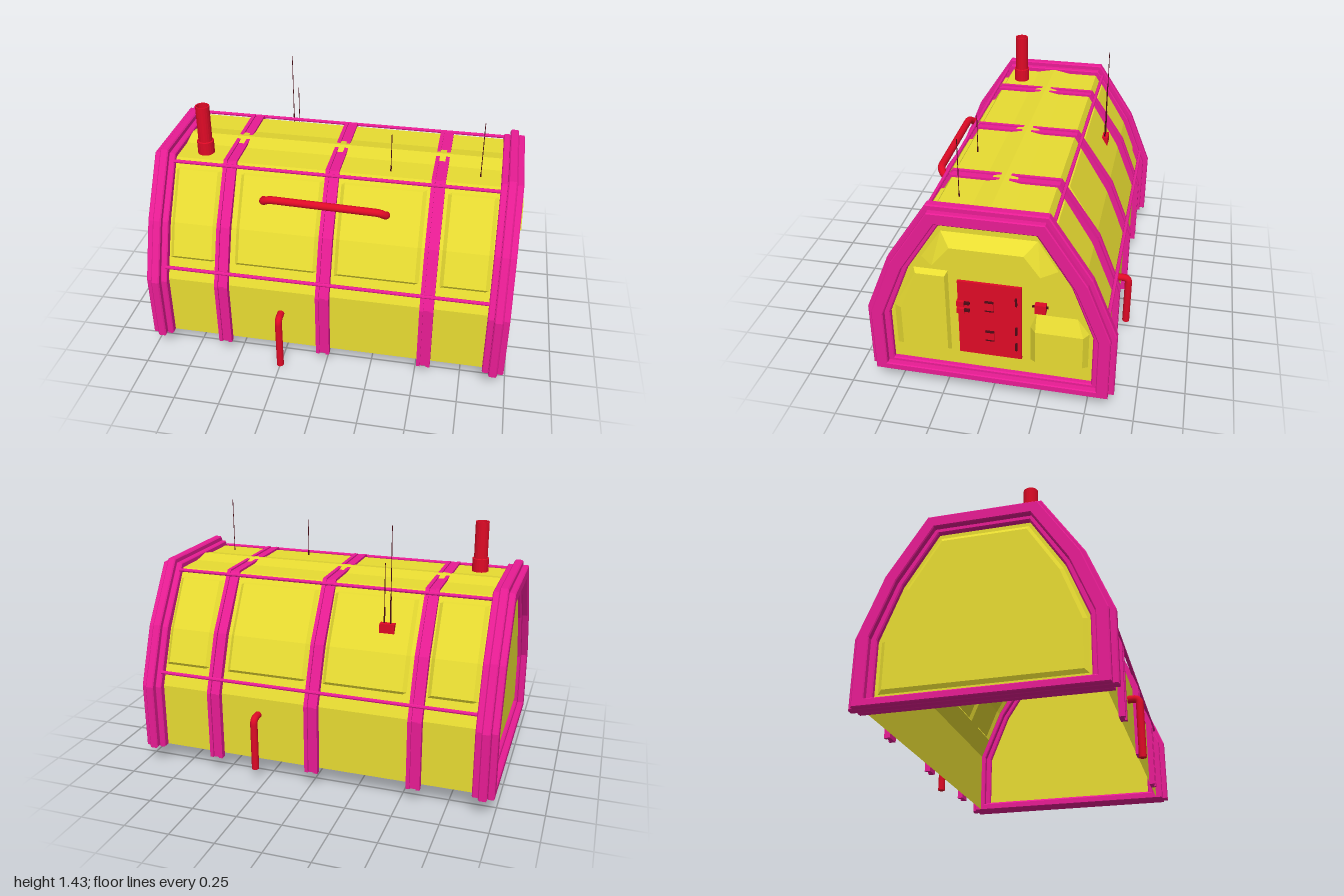
import * as THREE from 'three';
import { ConvexGeometry } from 'three/addons/geometries/ConvexGeometry.js';

const paint = (color, side = THREE.FrontSide) =>
  new THREE.MeshStandardMaterial({ color, flatShading: true, side });
const yellow = paint(0xe8dc32, THREE.DoubleSide);
const magenta = paint(0xe81c94);
const red = paint(0xdf0a26);
const dark = paint(0x4a0a14);
const smoothRed = new THREE.MeshStandardMaterial({ color: 0xdf0a26 });

// Half profiles as [z, y], from the ground up to the roof edge
const HULL = [[0.575, 0.11], [0.575, 0.47], [0.455, 0.77], [0.27, 1.075]];
const RIB_INNER = [[0.578, 0.09], [0.578, 0.471], [0.458, 0.772], [0.272, 1.078]];
const RIB_RAIL = [[0.61, 0.09], [0.61, 0.474], [0.488, 0.787], [0.283, 1.09]];
const RIB_CORE = [[0.6, 0.09], [0.6, 0.473], [0.478, 0.782], [0.28, 1.082]];
const BAND = [[0.64, 0.105], [0.64, 0.477], [0.51, 0.8], [0.295, 1.127]];
const BAND_HOLE = [[0.522, 0.16], [0.522, 0.457], [0.41, 0.745], [0.235, 1.02]];
const FLANGE = [[0.612, 0.105], [0.612, 0.472], [0.49, 0.787], [0.283, 1.102]];
const FLANGE_HOLE = [[0.55, 0.145], [0.55, 0.461], [0.432, 0.755], [0.248, 1.04]];
const END_OUTER = [[0.505, 0.18], [0.505, 0.453], [0.397, 0.735], [0.227, 1.0]];
const END_INNER = [[0.485, 0.2], [0.485, 0.449], [0.38, 0.725], [0.218, 0.98]];

const full = (half) => [...half, ...half.map(([z, y]) => [-z, y]).reverse()];
const shapeOf = (pts) => new THREE.Shape(pts.map(([z, y]) => new THREE.Vector2(z, y)));
const ringShape = (outer, hole) => {
  const s = shapeOf(full(outer));
  s.holes.push(shapeOf(full(hole)));
  return s;
};

// Extrudes a z/y shape along x, centred on x, with small chamfers
function slab(shape, x, width, chamfer) {
  return new THREE.ExtrudeGeometry(shape, {
    depth: width - 2 * chamfer, bevelEnabled: chamfer > 0, bevelSegments: 1,
    bevelSize: chamfer, bevelThickness: chamfer, bevelOffset: -chamfer,
  }).translate(0, 0, chamfer - width / 2).rotateY(Math.PI / 2).translate(x, 0, 0);
}

// Skin stretched over rows of equally many [x, y, z] points
function skin(rows) {
  const index = [], n = rows[0].length;
  for (let i = 1; i < rows.length; i++)
    for (let j = 1; j < n; j++) {
      const k = i * n + j;
      index.push(k - n - 1, k - 1, k, k - n - 1, k, k - n);
    }
  const g = new THREE.BufferGeometry();
  g.setAttribute('position', new THREE.Float32BufferAttribute(rows.flat(2), 3));
  g.setIndex(index);
  g.computeVertexNormals();
  return g;
}

function add(parent, name, geometry, material, x = 0, y = 0, z = 0) {
  const mesh = new THREE.Mesh(geometry, material);
  mesh.name = name;
  mesh.position.set(x, y, z);
  parent.add(mesh);
  return mesh;
}

function addGroup(parent, name) {
  const g = new THREE.Group();
  g.name = name;
  parent.add(g);
  return g;
}

const box = (parent, name, size, pos, material) =>
  add(parent, name, new THREE.BoxGeometry(...size), material, ...pos);

const rod = (parent, name, r, bottom, top, x, z, material) =>
  add(parent, name, new THREE.CylinderGeometry(r, r, top - bottom, 8), material, x, (top + bottom) / 2, z);

// Pipe with rounded bends through a few corner points, with closed ends
function pipe(parent, name, pts, r) {
  const v = pts.map((p) => new THREE.Vector3(...p)), last = v.length - 1;
  const path = new THREE.CurvePath();
  let from = v[0];
  for (let i = 1; i < last; i++) {
    const before = v[i].distanceTo(v[i - 1]), after = v[i].distanceTo(v[i + 1]);
    const bend = Math.min(0.035, before / 2, after / 2);
    const a = v[i].clone().lerp(v[i - 1], bend / before);
    const b = v[i].clone().lerp(v[i + 1], bend / after);
    path.add(new THREE.LineCurve3(from, a));
    path.add(new THREE.QuadraticBezierCurve3(a, v[i], b));
    from = b;
  }
  path.add(new THREE.LineCurve3(from, v[last]));
  const g = addGroup(parent, name);
  add(g, name + 'Tube', new THREE.TubeGeometry(path, 64, r, 12), smoothRed);
  for (const [p, q] of [[v[0], v[1]], [v[last], v[last - 1]]])
    add(g, name + 'End', new THREE.CircleGeometry(r, 12), smoothRed, p.x, p.y, p.z)
      .lookAt(p.clone().multiplyScalar(2).sub(q));
}

// Shell with raised bevelled panels on both slopes
function shellGeometry() {
  const along = ([z0, y0], [z1, y1], y) => [z0 + ((z1 - z0) * (y - y0)) / (y1 - y0), y];
  const [foot, sill, knee, eave] = HULL;
  // Each point is [z, y, share of the panel height]
  const half = [
    [...foot, 0], [...sill, 0],
    [...along(sill, knee, 0.585), 0], [...along(sill, knee, 0.595), 1],
    [...knee, 1],
    [...along(knee, eave, 1.02), 1], [...along(knee, eave, 1.03), 0],
    [...eave, 0], [0.1, 1.075, 0],
  ];
  const profile = [...half.map((p) => [...p, 1]), [0, 1.095, 0, 1],
    ...half.map(([z, y, s]) => [-z, y, s, -1]).reverse()];
  const stations = [[-0.94, 0]];
  for (const [a, b] of [[-0.875, -0.62], [-0.51, -0.055], [0.04, 0.495], [0.605, 0.865]])
    stations.push([a, 0], [a + 0.02, 1], [b - 0.02, 1], [b, 0]);
  stations.push([0.925, 0]);
  return skin(stations.map(([x, inPanel]) => profile.map(([z, y, share, side]) => {
    const d = 0.016 * share * inPanel;
    return [x, y + 0.45 * d, z + 0.89 * d * side];
  })));
}

// Raised block with sloping sides on the door end
function raisedPanel(parent, name, base, top, x1) {
  const pts = [...base.map(([z, y]) => new THREE.Vector3(0.926, y, z)),
    ...top.map(([z, y]) => new THREE.Vector3(x1, y, z))];
  add(parent, name, new ConvexGeometry(pts), yellow);
}

export function createModel() {
  const model = new THREE.Group();
  model.name = 'shelter';

  // Shell and end walls, open underneath
  add(model, 'shell', shellGeometry(), yellow);
  const flat = (shape) => new THREE.ShapeGeometry(shape).rotateY(Math.PI / 2);
  add(model, 'doorEndWall', flat(shapeOf(full(HULL))), yellow, 0.925);
  add(model, 'plainEndWall', flat(ringShape(HULL, END_OUTER)), yellow, -0.94);
  add(model, 'plainEndPanel', flat(shapeOf(full(END_INNER))), yellow, -0.952);
  add(model, 'plainEndBevel', skin([[END_OUTER, -0.94], [END_INNER, -0.952]].map(([half, x]) =>
    [...full(half), half[0]].map(([z, y]) => [x, y, z]))), yellow);

  // Stepped end frames
  for (const x of [-0.942, 0.928]) {
    const frame = addGroup(model, 'endFrame');
    add(frame, 'frameBand', slab(ringShape(BAND, BAND_HOLE), x, 0.046, 0.006), magenta);
    for (const s of [-1, 1])
      add(frame, 'frameFlange', slab(ringShape(FLANGE, FLANGE_HOLE), x + s * 0.04, 0.036, 0.005), magenta);
  }

  // Arched ribs: two rails with a lower core between them
  const arch = (outer) => shapeOf([...full(outer), ...full(RIB_INNER).reverse()]);
  for (const x of [-0.575, -0.012, 0.55]) {
    const rib = addGroup(model, 'rib');
    add(rib, 'ribCore', slab(arch(RIB_CORE), x, 0.034, 0), magenta);
    for (const s of [-1, 1]) add(rib, 'ribRail', slab(arch(RIB_RAIL), x + s * 0.027, 0.02, 0), magenta);
  }

  // Long rods running between the frames
  for (const s of [-1, 1])
    for (const [y, z] of [[0.555, 0.586], [1.07, 0.31]])
      add(model, 'sideRod', new THREE.CylinderGeometry(0.01, 0.01, 1.76, 8).rotateZ(Math.PI / 2),
        magenta, -0.007, y, s * z);

  // Door end: hood and two side blocks
  raisedPanel(model, 'hood', [[0.235, 0.975], [-0.24, 0.975], [-0.34, 0.815], [0.34, 0.815]],
    [[0.175, 0.93], [-0.185, 0.93], [-0.265, 0.82], [0.265, 0.82]], 1.0);
  raisedPanel(model, 'tallBlock', [[0.5, 0.25], [0.21, 0.25], [0.21, 0.745], [0.385, 0.745], [0.5, 0.495]],
    [[0.46, 0.272], [0.222, 0.272], [0.222, 0.725], [0.37, 0.725], [0.46, 0.5]], 0.952);
  raisedPanel(model, 'shortBlock', [[-0.5, 0.25], [-0.205, 0.25], [-0.205, 0.46], [-0.235, 0.545], [-0.44, 0.545], [-0.5, 0.46]],
    [[-0.475, 0.272], [-0.235, 0.272], [-0.235, 0.46], [-0.475, 0.46]], 0.965);

  // Door with plates, hinges and latches
  const door = addGroup(model, 'door');
  box(door, 'doorLeaf', [0.014, 0.445, 0.324], [0.933, 0.477, 0], red);
  for (const y of [0.57, 0.385]) {
    box(door, 'doorPlate', [0.012, 0.055, 0.045], [0.944, y, 0], red);
    for (const s of [-1, 1]) box(door, 'plateEdge', [0.016, 0.006, 0.045], [0.944, y + s * 0.026, 0], dark);
  }
  for (const y of [0.615, 0.435, 0.335]) box(door, 'hinge', [0.016, 0.045, 0.01], [0.943, y, -0.136], dark);
  for (const y of [0.57, 0.527]) {
    box(door, 'latch', [0.025, 0.03, 0.038], [0.943, y, 0.147], red);
    box(door, 'latchBar', [0.015, 0.012, 0.03], [0.947, y + 0.005, 0.115], dark);
  }
  box(model, 'controlBox', [0.031, 0.05, 0.056], [0.942, 0.597, -0.258], red);
  box(model, 'controlLever', [0.01, 0.008, 0.08], [0.95, 0.612, -0.258], dark);

  // Chimney
  const stack = [[0.046, 1.075], [0.046, 1.148], [0.038, 1.15], [0.038, 1.355], [0.032, 1.355], [0.032, 1.3], [0, 1.3]];
  add(model, 'chimney', new THREE.LatheGeometry(stack.map((p) => new THREE.Vector2(...p)), 20), red, -0.742, 0, 0.185);

  // Handrail and drain pipes
  pipe(model, 'handrail', [[-0.37, 0.92, 0.37], [-0.37, 0.93, 0.41], [-0.33, 0.957, 0.428],
    [0.265, 0.944, 0.43], [0.295, 0.915, 0.405], [0.295, 0.905, 0.38]], 0.021);
  pipe(model, 'frontDrain', [[-0.25, 0, 0.638], [-0.25, 0.32, 0.638], [-0.25, 0.32, 0.577]], 0.02);
  pipe(model, 'backDrain', [[0.3, 0.08, -0.638], [0.3, 0.376, -0.638], [0.3, 0.376, -0.577]], 0.02);

  // Aerials with thicker feet
  box(model, 'aerialMount', [0.08, 0.05, 0.035], [-0.37, 0.89, -0.402], red);
  for (const [x, z, bottom, foot, top] of [[-0.385, -0.4, 0.9, 1.06, 1.43], [-0.352, -0.4, 0.9, 1.0, 1.235],
    [0.29, 0.21, 1.075, 1.105, 1.29], [0.762, 0.183, 1.075, 1.09, 1.385]]) {
    rod(model, 'aerialFoot', 0.004, bottom, foot, x, z, dark);
    rod(model, 'aerial', 0.002, bottom, top, x, z, dark);
  }
  return model;
}
